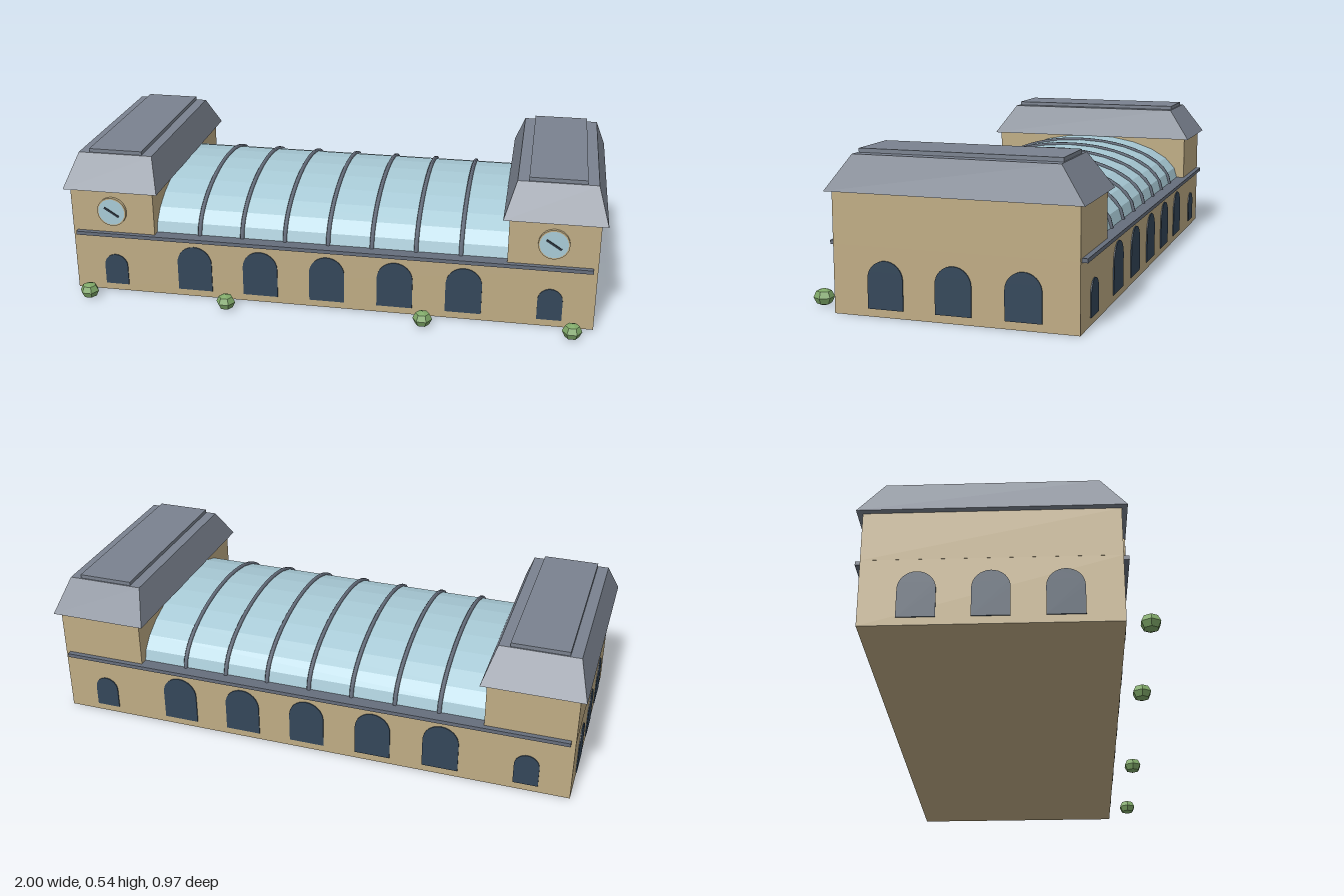
import * as THREE from 'three';

const mat = (name, color) => {
  const m = new THREE.MeshStandardMaterial({ color });
  m.name = name;
  return m;
};

export function createModel() {
  const wall = mat('sandstone', 0xbfac84);
  const slate = mat('slate', 0x7a828f);
  const trim = mat('darkTrim', 0x666e7c);
  const glass = mat('paleGlass', 0xa8cad6);
  const pane = mat('navyWindow', 0x34475a);
  const dark = mat('clockHand', 0x2a323c);
  const leaf = mat('leafGreen', 0x7fa868);

  const model = new THREE.Group();
  model.name = 'trainStation';
  const CZ = -0.046, HALF_Z = 0.419, HALF_X = 0.976, TOWER_X = 0.8165;

  const add = (name, geometry, material, x = 0, y = 0, z = 0, parent = model) => {
    const mesh = new THREE.Mesh(geometry, material);
    mesh.name = name;
    mesh.position.set(x, y, z);
    parent.add(mesh);
    return mesh;
  };
  const box = (name, w, h, d, material, x, y, z, parent) =>
    add(name, new THREE.BoxGeometry(w, h, d), material, x, y, z, parent);
  const faceted = (geometry) => {
    const g = geometry.toNonIndexed();
    g.computeVertexNormals();
    return g;
  };

  // Long hall with a thin slab that forms the ledge
  box('hall', HALF_X * 2, 0.235, HALF_Z * 2, wall, 0, 0.1175, CZ);
  box('ledge', 1.92, 0.014, 0.876, trim, 0, 0.235, CZ);

  // Glazed barrel vault and its ribs
  const vault = new THREE.CylinderGeometry(1, 1, 1.32, 12, 1, true, 0, Math.PI);
  vault.rotateZ(Math.PI / 2);
  vault.scale(1, 0.175, 0.39);
  add('glassVault', faceted(vault), glass, 0, 0.237, CZ);

  const arc = [];
  for (let i = 0; i <= 12; i++) {
    const a = (i / 12) * Math.PI;
    arc.push(new THREE.Vector3(0, Math.sin(a) * 0.176, Math.cos(a) * 0.391));
  }
  const ribGeometry = new THREE.TubeGeometry(new THREE.CatmullRomCurve3(arc), 24, 0.008, 6);
  for (let i = -3; i <= 3; i++) add('vaultRib', ribGeometry, trim, i * 0.163, 0.237, CZ);

  // Hipped roof: a box whose top is drawn in
  const roof = new THREE.BoxGeometry(0.364, 0.12, 0.876);
  const p = roof.attributes.position;
  for (let i = 0; i < p.count; i++) {
    if (p.getY(i) > 0) p.setXYZ(i, Math.sign(p.getX(i)) * 0.142, 0.06, Math.sign(p.getZ(i)) * 0.352);
  }
  roof.computeVertexNormals();

  // End pavilions, each with a clock on the front
  for (const side of [-1, 1]) {
    const x = side * TOWER_X;
    const pavilion = new THREE.Group();
    pavilion.name = side > 0 ? 'leftPavilion' : 'rightPavilion';
    model.add(pavilion);
    box('pavilionWall', 0.32, 0.175, HALF_Z * 2, wall, x, 0.3225, CZ, pavilion);
    add('pavilionRoof', roof, slate, x, 0.47, CZ, pavilion);
    box('roofCap', 0.204, 0.014, 0.694, slate, x, 0.537, CZ, pavilion);

    const clock = new THREE.Group();
    clock.name = 'clock';
    clock.position.set(x, 0.328, CZ + HALF_Z);
    pavilion.add(clock);
    const rim = new THREE.CylinderGeometry(0.056, 0.056, 0.012, 20).rotateX(Math.PI / 2);
    add('clockRim', rim, wall, 0, 0, 0.006, clock);
    add('clockFace', new THREE.CircleGeometry(0.051, 20), glass, 0, 0, 0.0128, clock);
    const hand = box('clockHands', 0.064, 0.008, 0.002, dark, 0, 0, 0.0142, clock);
    hand.rotation.z = -0.56;
  }

  // Arched windows: thin plates with a round head, base at local y = 0
  const windowGeometry = (width, height) => {
    const r = width / 2;
    const s = new THREE.Shape();
    s.moveTo(-r, 0);
    s.lineTo(r, 0);
    s.lineTo(r, height - r);
    s.absarc(0, height - r, r, 0, Math.PI, false);
    s.closePath();
    return new THREE.ExtrudeGeometry(s, { depth: 0.005, bevelEnabled: false, curveSegments: 8 });
  };
  const largeWindow = windowGeometry(0.132, 0.177);
  const smallWindow = windowGeometry(0.09, 0.122);
  const sideWindow = windowGeometry(0.124, 0.162);
  const SILL = 0.027;

  for (const side of [-1, 1]) {
    const turn = side > 0 ? 0 : Math.PI;
    const z = CZ + side * (HALF_Z - 0.001);
    for (let i = -2; i <= 2; i++) {
      add('hallWindow', largeWindow, pane, i * 0.253, SILL, z).rotation.y = turn;
    }
    for (const end of [-1, 1]) {
      add('pavilionWindow', smallWindow, pane, end * TOWER_X, SILL, z).rotation.y = turn;
    }
    for (let i = -1; i <= 1; i++) {
      const w = add('endWindow', sideWindow, pane, side * (HALF_X - 0.001), SILL, CZ + i * 0.235);
      w.rotation.y = side * Math.PI / 2;
    }
  }

  // Clipped shrubs along the front
  const shrub = faceted(new THREE.SphereGeometry(0.036, 6, 4).scale(1, 0.84, 1));
  for (const x of [-0.9, -0.367, 0.367, 0.9]) add('shrub', shrub, leaf, x, 0.03, 0.453);

  return model;
}
